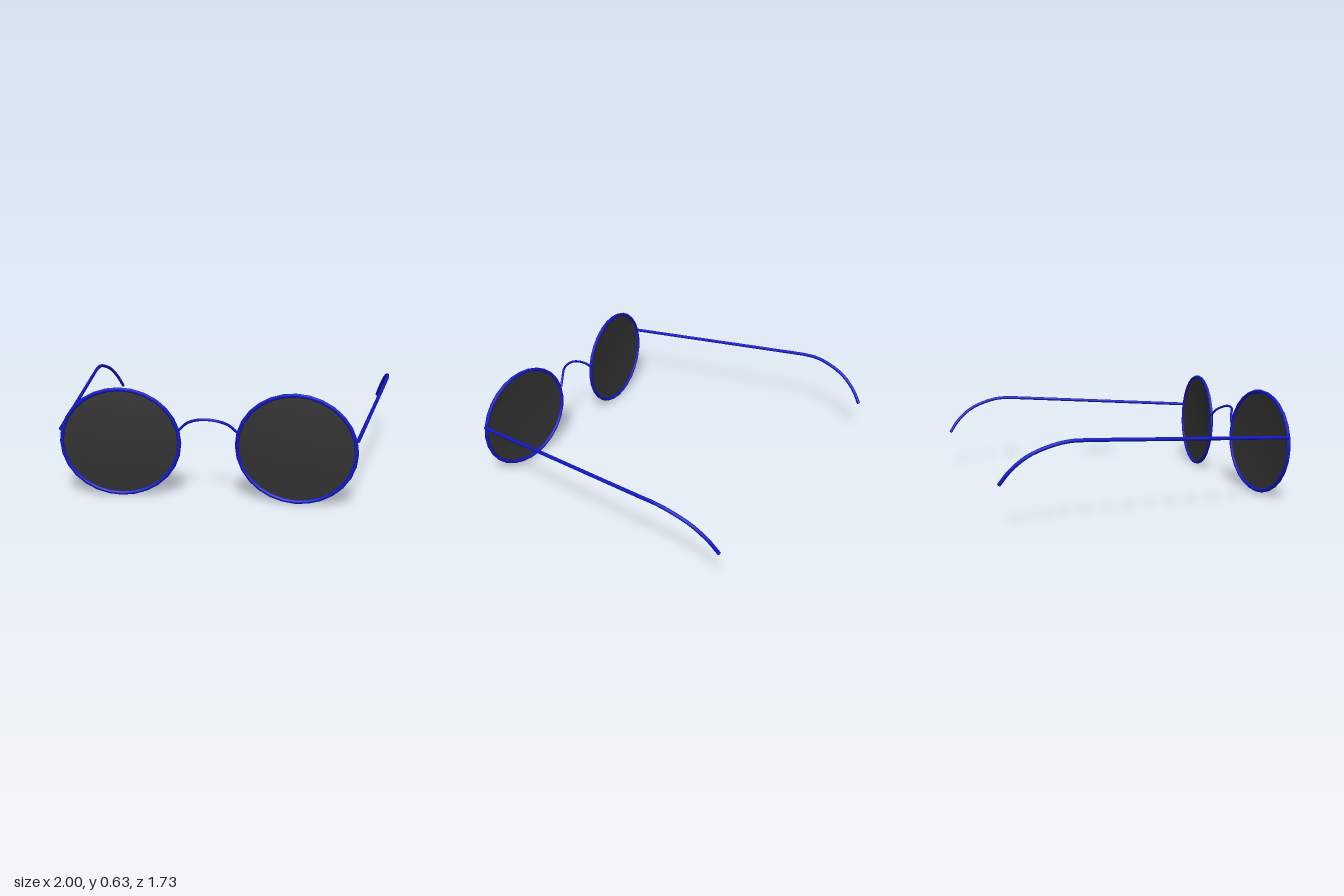
import * as THREE from 'three';

const frameMat = new THREE.MeshStandardMaterial({ color: 0x1018c8 });
const lensMat = new THREE.MeshStandardMaterial({ color: 0x333333, side: THREE.DoubleSide });

const RX = 0.327, RY = 0.302, SIDES = 28;

// Places a point of a lens plane, which is wrapped outward and tilted slightly
const onLens = (side, u, v, bulge = 0) =>
  new THREE.Vector3(side * (0.487 + u), 0.317 + v, 0.823 + 0.09 * u + 0.033 * v + bulge);

function mesh(name, geometry, material) {
  const m = new THREE.Mesh(geometry, material);
  m.name = name;
  return m;
}

// Round wire along a path, with closed ends
function wire(name, path, segments, radius) {
  const g = new THREE.Group();
  g.name = name;
  g.add(mesh(name + 'Wire', new THREE.TubeGeometry(path, segments, radius, 10), frameMat));
  for (const t of [0, 1]) {
    const cap = mesh(name + 'End', new THREE.CircleGeometry(radius, 10), frameMat);
    cap.position.copy(path.getPoint(t));
    const dir = path.getTangent(t).multiplyScalar(t ? 1 : -1);
    cap.quaternion.setFromUnitVectors(new THREE.Vector3(0, 0, 1), dir);
    g.add(cap);
  }
  return g;
}

function makeRim(side) {
  const pts = [];
  for (let i = 0; i < SIDES; i++) {
    const a = (i / SIDES) * Math.PI * 2;
    pts.push(onLens(side, RX * Math.cos(a), RY * Math.sin(a)));
  }
  const curve = new THREE.CatmullRomCurve3(pts, true);
  return mesh('rim', new THREE.TubeGeometry(curve, SIDES, 0.011, 8, true), frameMat);
}

// Shallow dome bulging forward
function makeLens(side) {
  const geo = new THREE.RingGeometry(0, 1, SIDES, 5);
  const pos = geo.attributes.position;
  for (let i = 0; i < pos.count; i++) {
    const x = pos.getX(i), y = pos.getY(i);
    const p = onLens(side, RX * x, RY * y, 0.016 * (1 - x * x - y * y));
    pos.setXYZ(i, p.x, p.y, p.z);
  }
  // Reverse the winding on the mirrored side so normals face forward
  if (side < 0) geo.setIndex(Array.from(geo.index.array).reverse());
  geo.computeVertexNormals();
  return mesh('lens', geo, lensMat);
}

// Straight arm leading into a curved ear hook
function makeTemple(side) {
  const v = (x, y, z) => new THREE.Vector3(side * x, y, z);
  const path = new THREE.CurvePath();
  path.add(new THREE.LineCurve3(v(0.818, 0.388, 0.853), v(0.983, 0.46, -0.4)));
  path.add(new THREE.CatmullRomCurve3([
    v(0.983, 0.46, -0.4), v(0.988, 0.459, -0.5), v(0.983, 0.437, -0.6),
    v(0.969, 0.39, -0.71), v(0.948, 0.315, -0.8), v(0.927, 0.238, -0.857),
  ]));
  return wire('temple', path, 60, 0.0105);
}

export function createModel() {
  const model = new THREE.Group();
  model.name = 'roundGlasses';

  for (const side of [1, -1]) {
    const half = new THREE.Group();
    half.name = side > 0 ? 'leftSide' : 'rightSide';
    half.add(makeRim(side), makeLens(side), makeTemple(side));
    model.add(half);
  }

  // Arched nose bridge
  const arch = [[0.162, 0.39, 0.79], [0.118, 0.434, 0.81], [0.06, 0.463, 0.84]];
  const pts = [
    ...arch.map(([x, y, z]) => new THREE.Vector3(-x, y, z)),
    new THREE.Vector3(0, 0.471, 0.848),
    ...arch.reverse().map(([x, y, z]) => new THREE.Vector3(x, y, z)),
  ];
  model.add(wire('bridge', new THREE.CatmullRomCurve3(pts), 24, 0.0075));

  return model;
}
